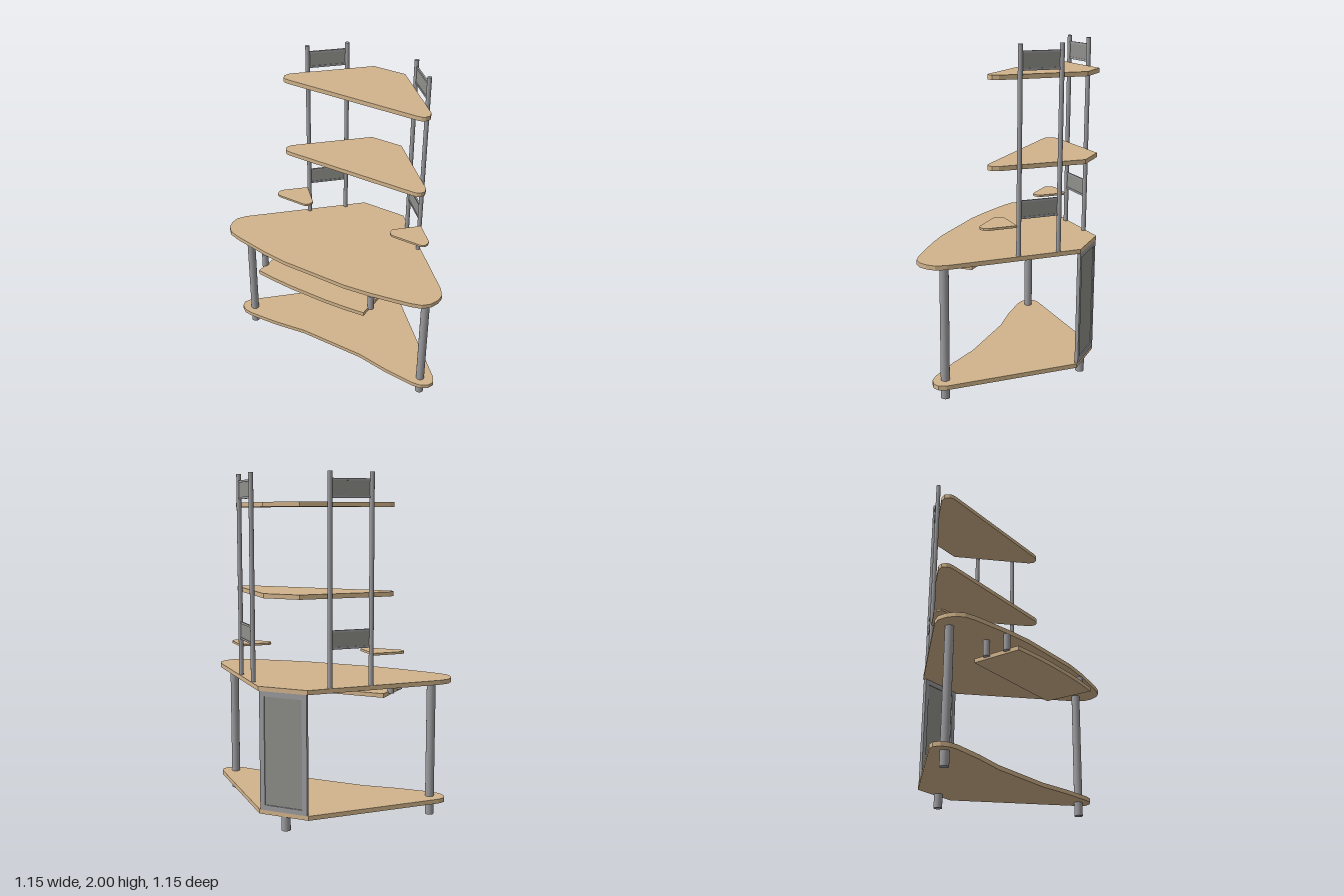
import * as THREE from 'three';

const wood = new THREE.MeshStandardMaterial({ color: 0xd2b48c });
const metal = new THREE.MeshStandardMaterial({ color: 0x9c9c9f });
const infill = new THREE.MeshStandardMaterial({ color: 0x8f8f8a });

// Plan points are [x, b] with b = -z; the desk is symmetric about x = b.
const swap = ([x, b]) => [b, x];
const symmetric = (half) => [...half, ...half.map(swap).reverse()];

const shapeOf = (points) => new THREE.Shape(points.map(([x, y]) => new THREE.Vector2(x, y)));

function add(parent, name, geometry, material) {
  const mesh = new THREE.Mesh(geometry, material);
  mesh.name = name;
  parent.add(mesh);
  return mesh;
}

// Flat board cut from a plan outline
function board(parent, name, outline, bottom, top) {
  const geo = new THREE.ExtrudeGeometry(shapeOf(outline), { depth: top - bottom, bevelEnabled: false });
  geo.rotateX(-Math.PI / 2);
  add(parent, name, geo, wood).position.y = bottom;
}

// Upright round tube
function tube(parent, name, [x, b], bottom, top, radius) {
  const geo = new THREE.CylinderGeometry(radius, radius, top - bottom, 20);
  add(parent, name, geo, metal).position.set(x, (bottom + top) / 2, -b);
}

// Framed upright panel between two plan points
function framedPanel(parent, name, p, q, bottom, top, depth, border) {
  const w = Math.hypot(q[0] - p[0], q[1] - p[1]) / 2;
  const h = (top - bottom) / 2;
  const rect = (a, c) => [[-a, -c], [a, -c], [a, c], [-a, c]];
  const shape = shapeOf(rect(w, h));
  shape.holes.push(shapeOf(rect(w - border, h - border)));
  const frame = new THREE.ExtrudeGeometry(shape, { depth, bevelEnabled: false });
  frame.translate(0, 0, -depth / 2);

  const group = new THREE.Group();
  group.name = name;
  add(group, name + 'Frame', frame, metal);
  add(group, name + 'Infill', new THREE.BoxGeometry(2 * (w - border), 2 * (h - border), depth * 0.4), infill);
  group.position.set((p[0] + q[0]) / 2, (bottom + top) / 2, -(p[1] + q[1]) / 2);
  group.rotation.y = Math.atan2(q[1] - p[1], q[0] - p[0]);
  parent.add(group);
}

export function createModel() {
  const desk = new THREE.Group();
  desk.name = 'cornerDesk';

  // Main worktop: back chamfer, rounded wings, bowed front
  board(desk, 'worktop', symmetric([
    [0.362, 0.577], [-0.45, 0.577], [-0.514, 0.563], [-0.553, 0.525], [-0.576, 0.475],
    [-0.576, 0.42], [-0.545, 0.36], [-0.51, 0.308], [-0.395, 0.145], [-0.295, 0.02],
  ]), 0.797, 0.823);

  // Bottom shelf with a hollow front edge
  board(desk, 'bottomShelf', symmetric([
    [0.357, 0.575], [-0.46, 0.575], [-0.503, 0.56], [-0.52, 0.522], [-0.512, 0.475],
    [-0.478, 0.43], [-0.32, 0.292], [-0.15, 0.165],
  ]), 0.085, 0.111);

  // Keyboard tray, set across the corner
  board(desk, 'keyboardTray', symmetric([
    [-0.213, 0.323], [-0.441, 0.105], [-0.36, 0.006], [-0.27, -0.095],
  ]), 0.688, 0.713);

  // Two upper shelves
  const upper = symmetric([
    [0.393, 0.548], [-0.137, 0.548], [-0.172, 0.532], [-0.183, 0.502], [-0.178, 0.48], [-0.158, 0.456],
  ]);
  for (const y of [1.316, 1.811]) board(desk, 'upperShelf', upper, y, y + 0.026);

  // Back stub leg and the panel on the chamfered corner
  tube(desk, 'backLeg', [0.445, 0.445], 0, 0.085, 0.026);
  framedPanel(desk, 'cornerPanel', [0.358, 0.565], [0.565, 0.358], 0.111, 0.797, 0.02, 0.03);

  // Parts repeated on both wings
  const bracket = [
    [-0.035, 0.567], [-0.205, 0.567], [-0.23, 0.553], [-0.241, 0.528], [-0.235, 0.505],
    [-0.105, 0.373], [-0.09, 0.361], [-0.07, 0.36], [-0.05, 0.368], [-0.035, 0.385],
  ];
  for (const side of [(p) => p, swap]) {
    const wing = new THREE.Group();
    wing.name = side === swap ? 'leftWing' : 'rightWing';
    desk.add(wing);

    tube(wing, 'frontLeg', side([-0.44, 0.492]), 0, 0.797, 0.026);
    for (const p of [[-0.39, 0.163], [-0.288, 0.264]]) tube(wing, 'trayHanger', side(p), 0.7, 0.797, 0.02);

    const inner = side([-0.022, 0.563]);
    const outer = side([0.225, 0.563]);
    for (const p of [inner, outer]) tube(wing, 'post', p, 0.823, 2, 0.0135);
    for (const y of [1.037, 1.857]) framedPanel(wing, 'postPanel', inner, outer, y, y + 0.106, 0.01, 0.012);

    board(wing, 'sideShelf', bracket.map(side), 0.99, 1.003);
  }
  return desk;
}
